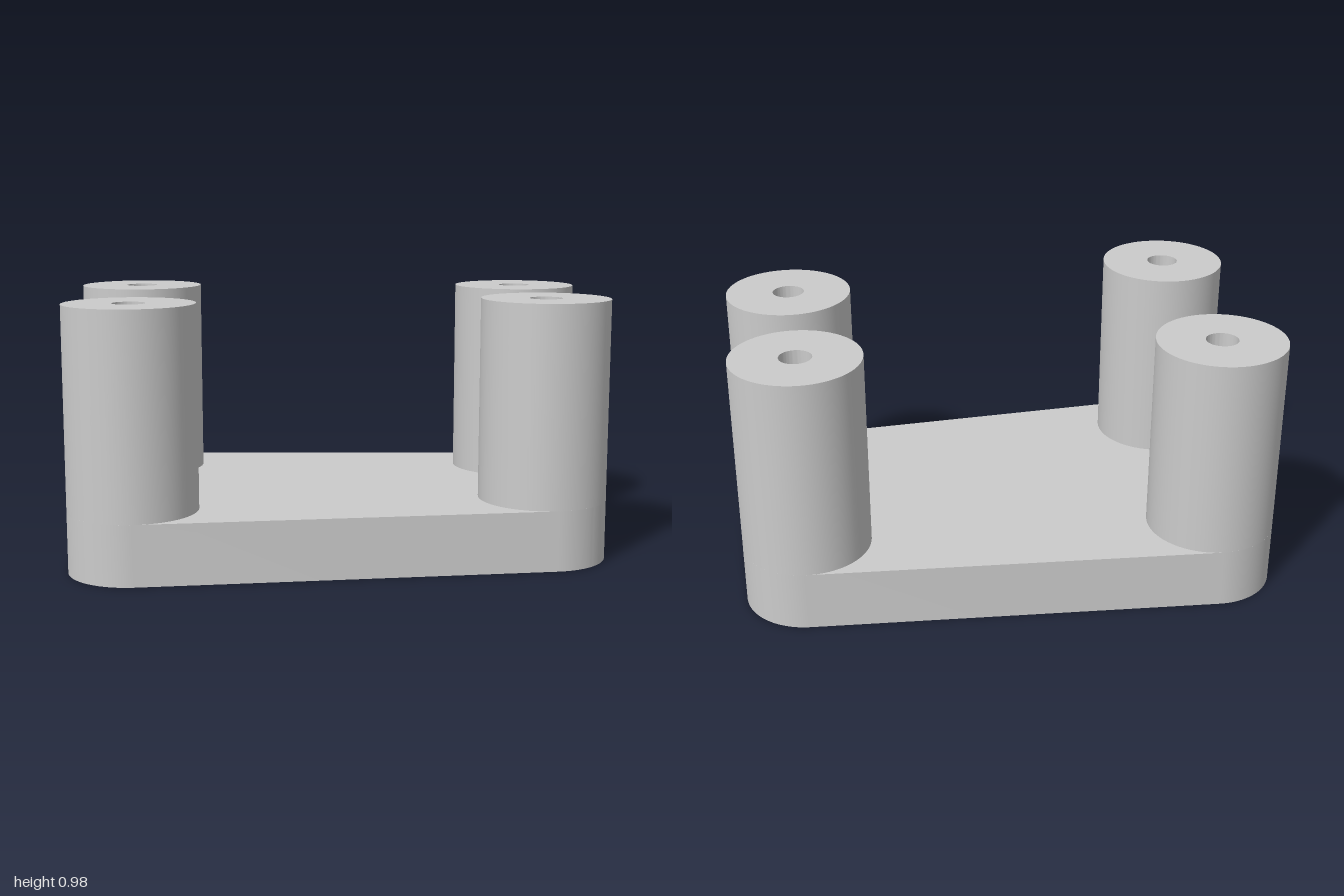
import * as THREE from 'three';
import { toCreasedNormals } from 'three/addons/utils/BufferGeometryUtils.js';

const R = 0.239, HOLE = 0.06, PLATE = 0.225, TOP = 0.975;
const LEFT = { x: 0.761, z: 0.3135 }, RIGHT = { x: -0.761, z: 0.411 };

export function createModel() {
  const group = new THREE.Group();
  const material = new THREE.MeshStandardMaterial({ color: 0xcccccc });
  const add = (geometry, name) => {
    const mesh = new THREE.Mesh(toCreasedNormals(geometry, 0.5), material);
    mesh.name = name;
    group.add(mesh);
    return mesh;
  };

  // Tapered plate: outline wraps the four posts with tangent lines
  const tilt = Math.atan2(RIGHT.z - LEFT.z, LEFT.x - RIGHT.x);
  const side = Math.PI / 2 - tilt;
  const outline = new THREE.Shape();
  outline.absarc(LEFT.x, -LEFT.z, R, -side, 0);
  outline.absarc(LEFT.x, LEFT.z, R, 0, side);
  outline.absarc(RIGHT.x, RIGHT.z, R, side, Math.PI);
  outline.absarc(RIGHT.x, -RIGHT.z, R, Math.PI, 2 * Math.PI - side);
  outline.closePath();
  const plate = new THREE.ExtrudeGeometry(outline, { depth: PLATE, bevelEnabled: false, curveSegments: 16 });
  plate.rotateX(-Math.PI / 2);
  add(plate, 'basePlate');

  // Hollow posts; the plate closes the bottom of each bore
  const profile = [[R, PLATE], [R, TOP], [HOLE, TOP], [HOLE, PLATE]].map(([r, y]) => new THREE.Vector2(r, y));
  for (const [label, p] of [['left', LEFT], ['right', RIGHT]]) {
    for (const [end, s] of [['Front', 1], ['Back', -1]]) {
      const post = add(new THREE.LatheGeometry(profile, 64), `${label}${end}Post`);
      post.position.set(p.x, 0, s * p.z);
    }
  }
  return group;
}
